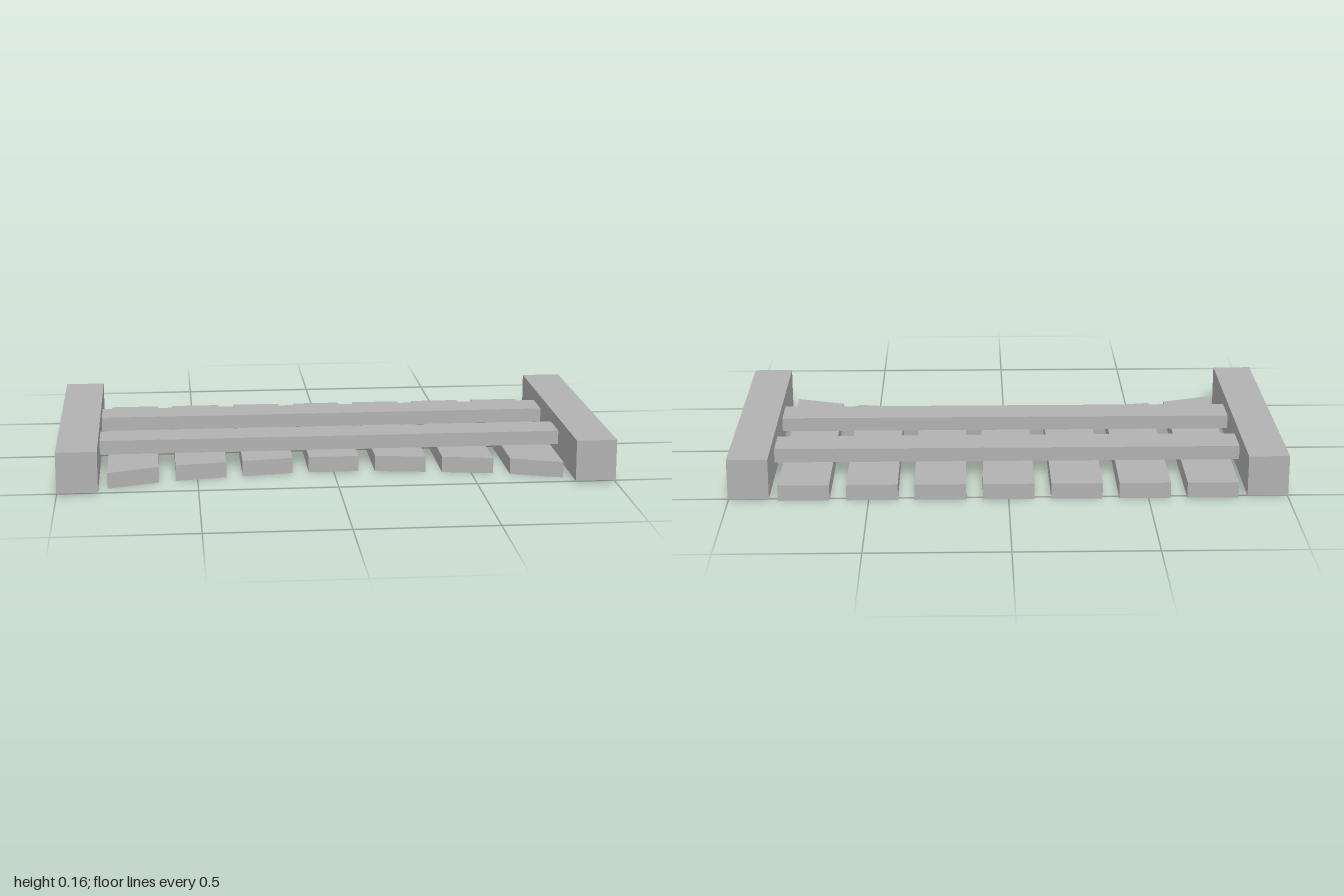
import * as THREE from 'three';

export function createModel() {
  const model = new THREE.Group();
  const wood = new THREE.MeshStandardMaterial({ color: 0xb2b2b2 });
  wood.name = 'grey wood';

  function add(name, geometry) {
    const mesh = new THREE.Mesh(geometry, wood);
    mesh.name = name;
    model.add(mesh);
    return mesh;
  }

  // Heavy beams at both ends
  for (const side of [-1, 1]) {
    add(side > 0 ? 'leftPost' : 'rightPost', new THREE.BoxGeometry(0.146, 0.149, 1.044))
      .position.set(side * 0.927, 0.0825, 0);
  }

  // Two crossbars resting on the slats
  for (const [name, z] of [['backRail', -0.214], ['frontRail', 0.13]]) {
    add(name, new THREE.BoxGeometry(1.708, 0.052, 0.139)).position.set(0, 0.084, z);
  }

  // Front ends of the slats, inner and outer edge, from the middle outwards
  const frontEnds = [[0.299, 0.299], [0.304, 0.331], [0.339, 0.371], [0.384, 0.449]];
  const back = -0.519, half = 0.092, spacing = 0.2437;

  for (let i = -3; i <= 3; i++) {
    const [inner, outer] = frontEnds[Math.abs(i)];
    const [zLeft, zRight] = i < 0 ? [outer, inner] : [inner, outer];
    const x = i * spacing;
    const shape = new THREE.Shape([
      new THREE.Vector2(x - half, -zLeft),
      new THREE.Vector2(x + half, -zRight),
      new THREE.Vector2(x + half, -back),
      new THREE.Vector2(x - half, -back),
    ]);
    const slat = new THREE.ExtrudeGeometry(shape, { depth: 0.058, bevelEnabled: false });
    slat.rotateX(-Math.PI / 2);
    add('slat' + (i + 4), slat);
  }

  return model;
}
